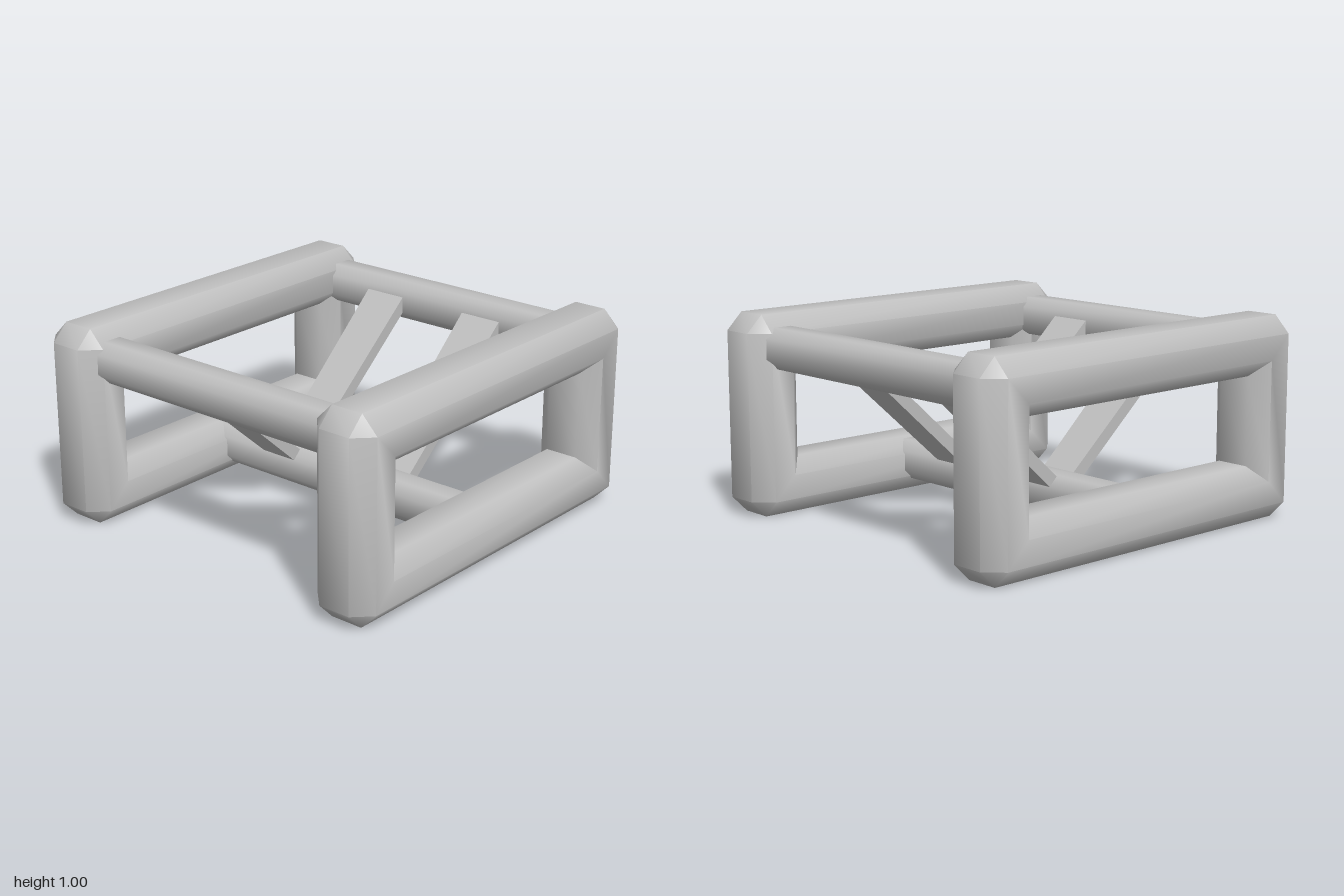
import * as THREE from 'three';
import { toCreasedNormals } from 'three/addons/utils/BufferGeometryUtils.js';

const CREASE = 0.87; // keeps 45 degree bevels smooth, sharpens the mitres

// Closed rectangular loop of bevelled bar with its outer corners cut off
function frameGeometry() {
  const cut = 0.085;
  // bar section: depth inwards from the outer edge, then z
  const section = [
    [0, 0.083], [cut, 0.167], [0.205, 0.167], [0.28, 0.083],
    [0.28, -0.083], [0.205, -0.167], [cut, -0.167], [0, -0.083],
  ];
  const station = (sx, sy, onSide) => section.map(([d, z]) => new THREE.Vector3(
    sx * (1 - d - (d === 0 && !onSide ? cut : 0)),
    sy * (0.5 - d - (d === 0 && onSide ? cut : 0)),
    z,
  ));
  // two stations per corner, counter-clockwise
  const rings = [
    station(1, 1, true), station(1, 1, false),
    station(-1, 1, false), station(-1, 1, true),
    station(-1, -1, true), station(-1, -1, false),
    station(1, -1, false), station(1, -1, true),
  ];
  const positions = [];
  const addTriangle = (...points) => {
    if (new THREE.Triangle(...points).getArea() < 1e-6) return;
    points.forEach((p) => positions.push(p.x, p.y, p.z));
  };
  rings.forEach((ring, s) => {
    const next = rings[(s + 1) % rings.length];
    for (let k = 0; k < ring.length; k++) {
      const m = (k + 1) % ring.length;
      addTriangle(ring[k], next[k], next[m]);
      addTriangle(ring[k], next[m], ring[m]);
    }
  });
  const geometry = new THREE.BufferGeometry();
  geometry.setAttribute('position', new THREE.Float32BufferAttribute(positions, 3));
  return toCreasedNormals(geometry, CREASE);
}

// Straight eight-sided rail along z
function railGeometry(half, flat, length) {
  const outline = [
    [half, -flat], [half, flat], [flat, half], [-flat, half],
    [-half, flat], [-half, -flat], [-flat, -half], [flat, -half],
  ].map(([x, y]) => new THREE.Vector2(x, y));
  const geometry = new THREE.ExtrudeGeometry(new THREE.Shape(outline), { depth: length, bevelEnabled: false });
  geometry.translate(0, 0, -length / 2);
  return toCreasedNormals(geometry, CREASE);
}

// Flat plank, slightly wider at its upper end
function braceGeometry(length) {
  const geometry = new THREE.BoxGeometry(length, 0.063, 1);
  const p = geometry.attributes.position;
  for (let i = 0; i < p.count; i++) {
    p.setZ(i, p.getZ(i) * (p.getX(i) > 0 ? 0.23 : 0.202));
  }
  geometry.computeVertexNormals();
  return geometry;
}

export function createModel() {
  const model = new THREE.Group();
  const grey = new THREE.MeshStandardMaterial({ color: 0xc0c0c0 });
  grey.name = 'light grey';

  const add = (name, geometry, x, y, z) => {
    const mesh = new THREE.Mesh(geometry, grey);
    mesh.name = name;
    mesh.position.set(x, y, z);
    model.add(mesh);
    return mesh;
  };

  // End frames
  const frame = frameGeometry();
  add('frontFrame', frame, 0, 0.5, 0.833);
  add('backFrame', frame, 0, 0.5, -0.833);

  // Rails joining the frames
  const rail = railGeometry(0.1, 0.05, 1.5);
  add('leftTopRail', rail, 0.835, 0.84, 0);
  add('rightTopRail', rail, -0.835, 0.84, 0);
  add('bottomRail', rail, 0, 0.17, 0);

  // Diagonal braces from the bottom rail up to the top rails
  const from = new THREE.Vector2(0.03, 0.2);
  const to = new THREE.Vector2(0.765, 0.853);
  const span = to.clone().sub(from);
  const middle = from.clone().add(to).multiplyScalar(0.5);
  const brace = braceGeometry(span.length());
  for (const side of [1, -1]) {
    for (const z of [0.306, -0.306]) {
      const name = (side > 0 ? 'left' : 'right') + (z > 0 ? 'Front' : 'Back') + 'Brace';
      const mesh = add(name, brace, side * middle.x, middle.y, z);
      mesh.rotation.z = side > 0 ? span.angle() : Math.PI - span.angle();
    }
  }
  return model;
}
